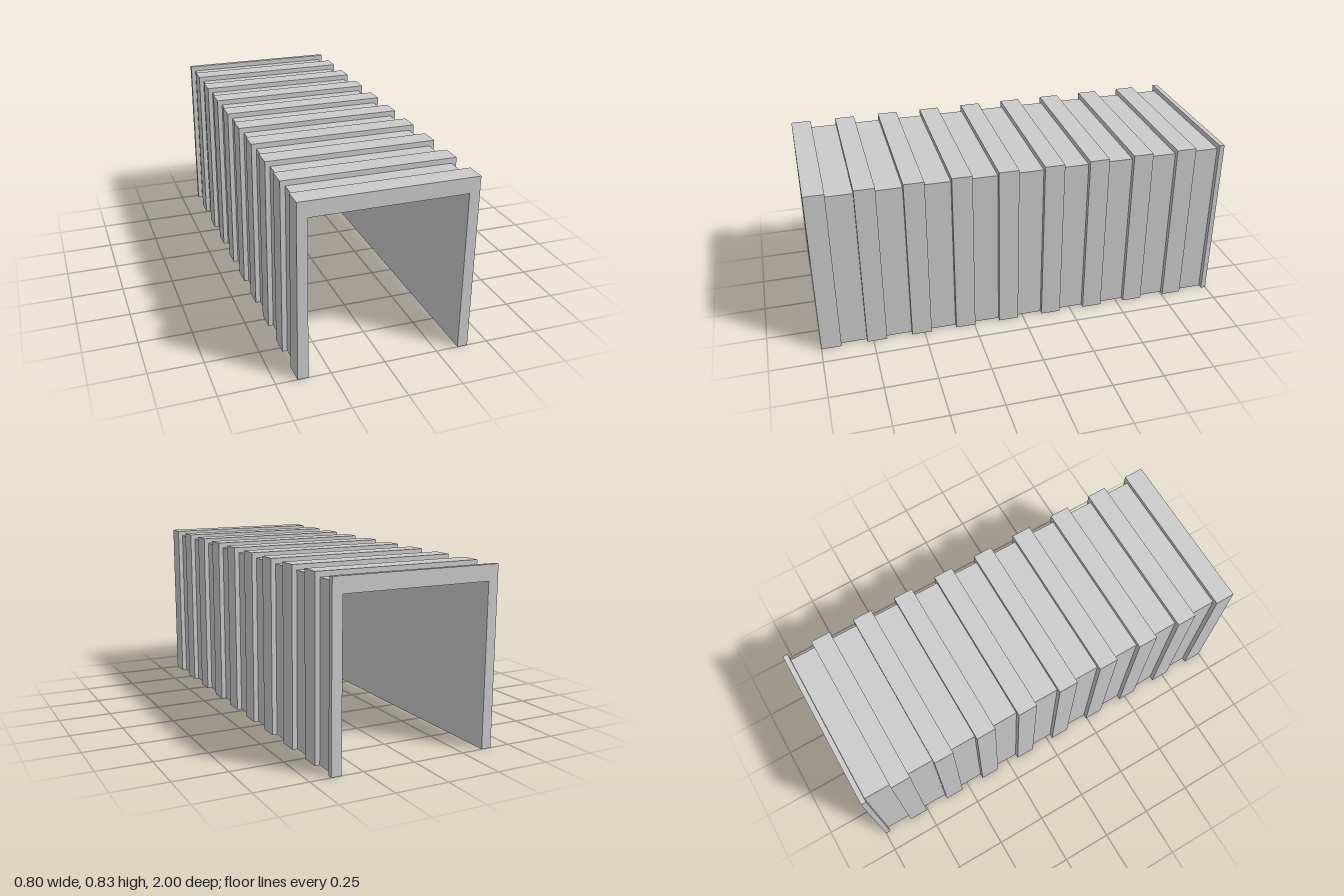
import * as THREE from 'three';

const material = new THREE.MeshStandardMaterial({ color: 0xcccccc, flatShading: true });

// Upside-down U outline (open at the ground) swept from z0 to z1
function arch(name, outerX, outerY, innerX, innerY, z0, z1) {
  const shape = new THREE.Shape([
    [-outerX, 0], [-innerX, 0], [-innerX, innerY], [innerX, innerY],
    [innerX, 0], [outerX, 0], [outerX, outerY], [-outerX, outerY],
  ].map(([x, y]) => new THREE.Vector2(x, y)));
  const geometry = new THREE.ExtrudeGeometry(shape, { depth: z1 - z0, bevelEnabled: false });
  geometry.translate(0, 0, z0);
  const mesh = new THREE.Mesh(geometry, material);
  mesh.name = name;
  return mesh;
}

export function createModel() {
  const model = new THREE.Group();
  model.name = 'ribbedTunnel';

  // Smooth-walled tunnel shell
  const shellX = 0.379, shellY = 0.804;
  model.add(arch('tunnelShell', shellX, shellY, 0.354, 0.756, -1, 1));

  // Raised ribs at an even pitch from the front; the last is cut off by the back end
  const pitch = 0.2195, width = 0.096;
  for (let i = 0; i < 10; i++) {
    const front = 1 - i * pitch;
    const back = Math.max(front - width, -1);
    model.add(arch(`rib${i + 1}`, 0.402, 0.829, shellX, shellY, back, front));
  }
  return model;
}
